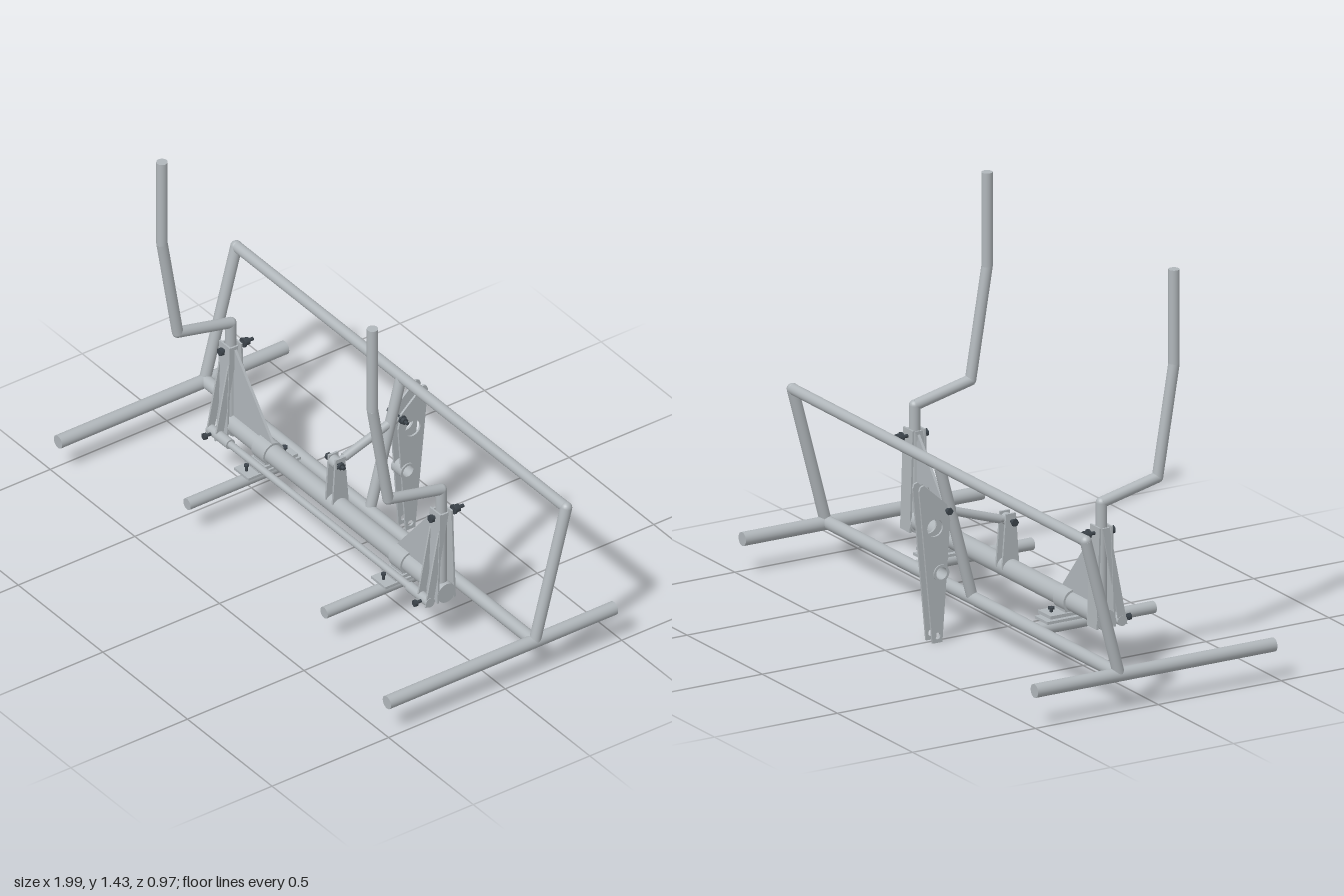
import * as THREE from 'three';

const steel = new THREE.MeshStandardMaterial({ color: 0xb0b6ba });
steel.name = 'steel grey';
const dark = new THREE.MeshStandardMaterial({ color: 0x3c444b });
dark.name = 'dark bolt';

export function createModel() {
  const root = new THREE.Group();
  const add = (name, geo, mat = steel, parent = root) => {
    const m = new THREE.Mesh(geo, mat);
    m.name = name;
    parent.add(m);
    return m;
  };
  // straight round bar between two points
  const rod = (name, a, b, r, parent = root, mat = steel, sides = 24) => {
    const A = new THREE.Vector3(...a), B = new THREE.Vector3(...b);
    const d = B.clone().sub(A);
    const m = add(name, new THREE.CylinderGeometry(r, r, d.length(), sides), mat, parent);
    m.position.copy(A).add(B).multiplyScalar(0.5);
    m.quaternion.setFromUnitVectors(new THREE.Vector3(0, 1, 0), d.normalize());
    return m;
  };
  const ball = (name, p, r, parent = root) =>
    add(name, new THREE.SphereGeometry(r, 20, 12), steel, parent).position.set(...p);
  const box = (name, size, p, parent = root, mat = steel) => {
    const m = add(name, new THREE.BoxGeometry(...size), mat, parent);
    m.position.set(...p);
    return m;
  };
  const outline = pts => new THREE.Shape(pts.map(p => new THREE.Vector2(...p)));
  // plate in the z-y plane, centred on x; points are [z, y]
  const sidePlate = (name, pts, holes, x, t, parent = root) => {
    const s = outline(pts.map(([z, y]) => [-z, y]));
    for (const [z, y, r] of holes) s.holes.push(new THREE.Path().absarc(-z, y, r, 0, Math.PI * 2, true));
    const g = new THREE.ExtrudeGeometry(s, { depth: t, bevelEnabled: false, curveSegments: 16 });
    g.translate(0, 0, -t / 2).rotateY(Math.PI / 2);
    add(name, g, steel, parent).position.x = x;
  };
  // bolt with hexagonal head, nut and washers
  const bolt = (name, a, b, r, parent = root) => {
    const A = new THREE.Vector3(...a), B = new THREE.Vector3(...b);
    const at = t => A.clone().lerp(B, t).toArray();
    const g = new THREE.Group();
    g.name = name;
    parent.add(g);
    rod('boltShank', a, b, r * 0.45, g, dark, 10);
    rod('boltHead', a, at(0.1), r, g, dark, 6);
    rod('boltNut', at(0.74), at(0.86), r, g, dark, 6);
    rod('boltWasher', at(0.69), at(0.74), r * 1.2, g, dark, 16);
  };

  // rear frame: cross tube, top rail, centre upright
  rod('lowerCrossTube', [-0.97, 0.13, -0.143], [0.97, 0.13, -0.143], 0.024);
  rod('topRail', [-0.975, 0.64, -0.28], [0.975, 0.64, -0.28], 0.02);
  rod('centreUpright', [0, 0.13, -0.145], [0, 0.64, -0.28], 0.02);

  // torsion tube and the thin link bar in front of it
  rod('mainTube', [-0.6, 0.217, 0], [0.6, 0.217, 0], 0.036);
  rod('linkBar', [-0.6, 0.195, 0.068], [0.6, 0.195, 0.068], 0.013);

  for (const s of [-1, 1]) {
    const side = new THREE.Group();
    side.name = s > 0 ? 'leftSide' : 'rightSide';
    root.add(side);

    // floor tubes and hoop upright
    rod('floorTube', [s * 0.972, 0.127, -0.487], [s * 0.972, 0.127, 0.487], 0.025, side);
    rod('hoopUpright', [s * 0.975, 0.13, -0.145], [s * 0.975, 0.64, -0.28], 0.021, side);
    ball('hoopCorner', [s * 0.975, 0.64, -0.28], 0.021, side);
    rod('shortFoot', [s * 0.405, 0.127, -0.13], [s * 0.405, 0.127, 0.345], 0.022, side);

    // pivot clamp on the short foot
    rod('clampCollar', [s * 0.37, 0.217, 0], [s * 0.44, 0.217, 0], 0.044, side);
    box('clampBase', [0.085, 0.01, 0.225], [s * 0.405, 0.158, 0], side);
    box('clampPad', [0.085, 0.012, 0.17], [s * 0.405, 0.176, -0.015], side);
    box('clampBlock', [0.065, 0.05, 0.07], [s * 0.405, 0.195, 0], side);
    bolt('clampBolt', [s * 0.405, 0.2, -0.072], [s * 0.405, 0.13, -0.072], 0.013, side);
    bolt('clampBolt', [s * 0.405, 0.19, 0.09], [s * 0.405, 0.13, 0.09], 0.01, side);

    // bent swing arm
    const X = s * 0.622;
    const path = [[0.2, 0], [0.632, 0], [0.685, 0.228], [1.09, 0.295], [1.435, 0.295]];
    for (let i = 0; i < 4; i++) {
      const [a, b] = [path[i], path[i + 1]];
      rod('swingArm', [X, ...a], [X, ...b], 0.02, side);
      if (i) ball('armBend', [X, ...a], 0.02, side);
    }

    // arm bracket: front and back plates, slanted links
    for (const [z0, z1] of [[0.036, 0.024], [-0.036, -0.024]]) {
      const p = box('bracketPlate', [0.064, 0.37, 0.007], [X, 0.365, (z0 + z1) / 2], side);
      p.rotation.x = Math.atan2(z1 - z0, 0.37);
    }
    for (const dx of [-0.025, 0.025]) {
      sidePlate('slantedLink', [[0.088, 0.18], [0.056, 0.18], [-0.012, 0.545], [0.016, 0.545]], [], X + dx, 0.007, side);
    }
    rod('linkSocket', [s * 0.53, 0.195, 0.068], [s * 0.652, 0.195, 0.068], 0.019, side);
    rod('tubeEnd', [s * 0.585, 0.21, 0], [s * 0.655, 0.21, 0], 0.038, side);
    bolt('upperArmBolt', [X, 0.525, 0.05], [X, 0.525, -0.095], 0.015, side);
    bolt('lowerArmBolt', [X, 0.195, 0.118], [X, 0.195, 0], 0.013, side);

    // triangular gusset
    const tri = outline([[0.6, 0.24], [0.6, 0.54], [0.37, 0.262], [0.37, 0.24]].map(([x, y]) => [s * x, y]));
    const g = new THREE.ExtrudeGeometry(tri, { depth: 0.01, bevelEnabled: false });
    add('gusset', g, steel, side).position.z = -0.005;

    // centre lever plate and small pivot lug
    sidePlate('leverPlate',
      [[-0.282, 0], [-0.322, 0], [-0.376, 0.565], [-0.37, 0.58], [-0.357, 0.584], [-0.263, 0.5], [-0.25, 0.44]],
      [[-0.312, 0.422, 0.032], [-0.288, 0.253, 0.022], [-0.347, 0.565, 0.012], [-0.302, 0.025, 0.012]],
      s * 0.021, 0.008);
    sidePlate('pivotLug', [[0.032, 0.22], [-0.038, 0.22], [-0.022, 0.42], [0.018, 0.42]], [], s * 0.02, 0.008);
  }

  // lever bush
  const ring = outline([[0, 0]]);
  ring.curves = [];
  ring.absarc(0, 0, 0.031, 0, Math.PI * 2);
  ring.holes.push(new THREE.Path().absarc(0, 0, 0.022, 0, Math.PI * 2, true));
  const bush = new THREE.ExtrudeGeometry(ring, { depth: 0.06, bevelEnabled: false, curveSegments: 20 });
  bush.translate(0, 0, -0.03).rotateY(Math.PI / 2);
  add('leverBush', bush).position.set(0, 0.253, -0.288);

  // centre strut with its pivot bolts
  rod('strut', [0, 0.4, -0.035], [0, 0.475, -0.262], 0.016);
  rod('strutEye', [-0.016, 0.393, 0], [0.016, 0.393, 0], 0.022);
  rod('strutNeck', [0, 0.393, 0], [0, 0.405, -0.05], 0.012);
  bolt('strutBolt', [-0.05, 0.393, 0], [0.05, 0.393, 0], 0.014);
  bolt('leverBolt', [-0.05, 0.48, -0.265], [0.06, 0.48, -0.265], 0.013);

  return root;
}
